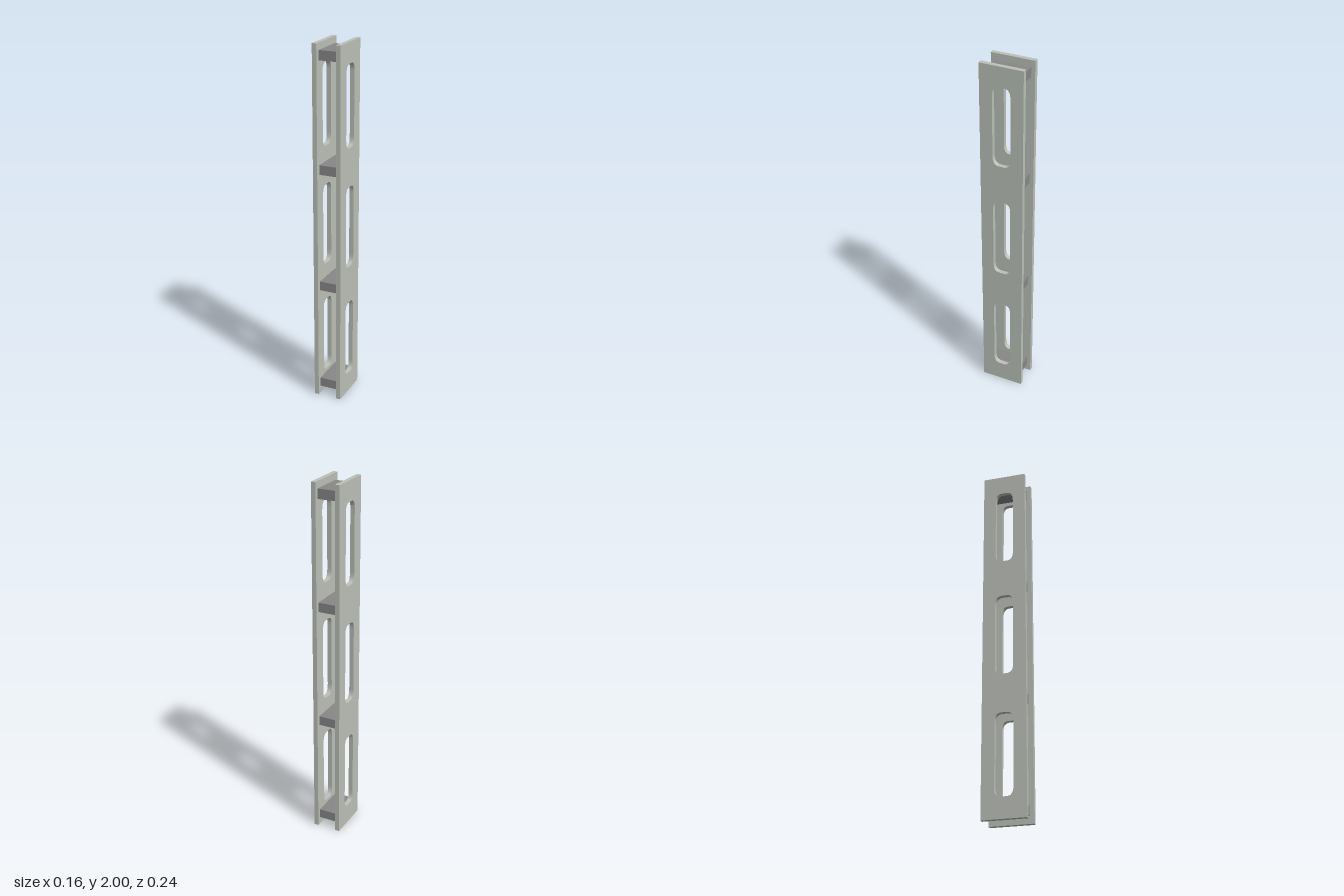
import * as THREE from 'three';

const HEIGHT = 2, DEPTH = 0.24, THICK = 0.025, INNER = 0.054;

// Tall slot with rounded corners, between heights y0 and y1
function slot(y0, y1) {
  const w = 0.05, r = 0.05, f = 0.015;
  const p = new THREE.Path();
  p.moveTo(-w, y0 + r);
  p.quadraticCurveTo(-w, y0, -f, y0);
  p.lineTo(f, y0);
  p.quadraticCurveTo(w, y0, w, y0 + r);
  p.lineTo(w, y1 - r);
  p.quadraticCurveTo(w, y1, f, y1);
  p.lineTo(-f, y1);
  p.quadraticCurveTo(-w, y1, -w, y1 - r);
  p.closePath();
  return p;
}

export function createModel() {
  const model = new THREE.Group();
  model.name = 'slottedFrame';

  const plateMaterial = new THREE.MeshStandardMaterial({ color: 0xbcc1b8 });
  plateMaterial.name = 'paleGrey';
  const spacerMaterial = new THREE.MeshStandardMaterial({ color: 0x888888 });
  spacerMaterial.name = 'midGrey';

  // Side plates, each with three slots
  const outline = new THREE.Shape();
  outline.moveTo(-DEPTH / 2, 0);
  outline.lineTo(DEPTH / 2, 0);
  outline.lineTo(DEPTH / 2, HEIGHT);
  outline.lineTo(-DEPTH / 2, HEIGHT);
  outline.closePath();
  outline.holes = [slot(0.113, 0.557), slot(0.773, 1.232), slot(1.447, 1.89)];

  const plateGeometry = new THREE.ExtrudeGeometry(outline, {
    depth: THICK, bevelEnabled: false, curveSegments: 6,
  });
  plateGeometry.translate(0, 0, -THICK / 2);
  plateGeometry.rotateY(Math.PI / 2);
  for (const side of [-1, 1]) {
    const plate = new THREE.Mesh(plateGeometry, plateMaterial);
    plate.name = side > 0 ? 'leftPlate' : 'rightPlate';
    plate.position.x = side * (INNER + THICK / 2);
    model.add(plate);
  }

  // Spacer blocks joining the plates
  const spacerGeometry = new THREE.BoxGeometry(INNER * 2, 0.052, 0.194);
  [0.068, 0.669, 1.335, 1.937].forEach((y, i) => {
    const spacer = new THREE.Mesh(spacerGeometry, spacerMaterial);
    spacer.name = `spacer${i + 1}`;
    spacer.position.set(0, y, -0.002);
    model.add(spacer);
  });

  return model;
}
